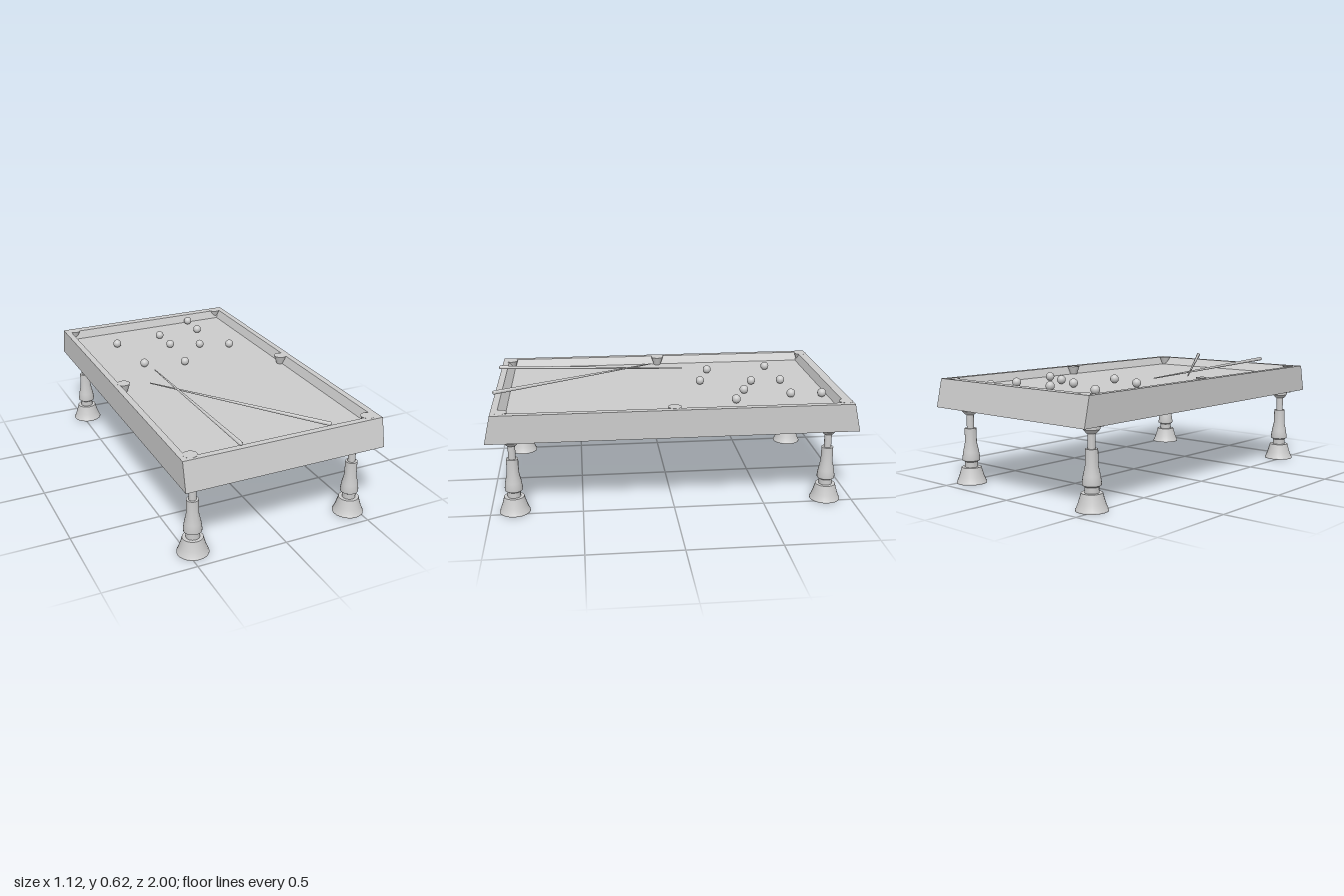
import * as THREE from 'three';
import { toCreasedNormals } from 'three/addons/utils/BufferGeometryUtils.js';

const material = new THREE.MeshStandardMaterial({ color: 0xcccccc });

function add(parent, name, geometry, x = 0, y = 0, z = 0) {
  const mesh = new THREE.Mesh(geometry, material);
  mesh.name = name;
  mesh.position.set(x, y, z);
  parent.add(mesh);
  return mesh;
}

// Stacks rectangular rings [half width, back z, front z, y] into a closed shell with sharp edges
function rectLoft(rings) {
  const pos = [];
  const idx = [];
  for (const [w, z0, z1, y] of rings) pos.push(-w, y, z1, w, y, z1, w, y, z0, -w, y, z0);
  for (let r = 0; r < rings.length - 1; r++) {
    for (let i = 0; i < 4; i++) {
      const a = r * 4 + i, b = r * 4 + (i + 1) % 4;
      idx.push(a, b, b + 4, a, b + 4, a + 4);
    }
  }
  const t = (rings.length - 1) * 4;
  idx.push(0, 2, 1, 0, 3, 2, t, t + 1, t + 2, t, t + 2, t + 3);
  const g = new THREE.BufferGeometry();
  g.setAttribute('position', new THREE.Float32BufferAttribute(pos, 3));
  g.setIndex(idx);
  const flat = g.toNonIndexed();
  flat.computeVertexNormals();
  return flat;
}

// Turned shape from [radius, y] pairs
function turned(profile, segments) {
  const points = profile.map(([r, y]) => new THREE.Vector2(r, y));
  return toCreasedNormals(new THREE.LatheGeometry(points, segments), 0.5);
}

// Tapered stick with a rounded butt, running from butt to tip
function addCue(parent, butt, tip) {
  const a = new THREE.Vector3(...butt), b = new THREE.Vector3(...tip);
  const dir = b.clone().sub(a);
  const length = dir.length();
  const profile = [];
  for (let i = 0; i <= 4; i++) {
    const t = (i / 4) * Math.PI / 2;
    profile.push([0.011 * Math.sin(t), -0.01 * Math.cos(t)]);
  }
  profile.push([0.003, length], [0, length]);
  const cue = add(parent, 'cue', turned(profile, 12), ...butt);
  cue.quaternion.setFromUnitVectors(new THREE.Vector3(0, 1, 0), dir.normalize());
}

export function createModel() {
  const model = new THREE.Group();
  model.name = 'poolTable';

  // Table body: sloped ends, rim, slanted cushions and sunken bed
  add(model, 'tableBody', rectLoft([
    [0.56, -1, 1, 0.43],
    [0.56, -0.965, 0.965, 0.585],
    [0.525, -0.915, 0.93, 0.585],
    [0.505, -0.9, 0.895, 0.538],
  ]));

  // Pockets: tapered cups set into the rails
  const pocket = toCreasedNormals(new THREE.CylinderGeometry(0.037, 0.02, 0.05, 20), 0.5);
  for (const x of [-0.5, 0.5]) {
    for (const z of [-0.93, 0, 0.915]) add(model, 'pocket', pocket, x, 0.561, z);
  }

  // Turned legs with flared feet and mounting plates
  const leg = turned([
    [0, 0], [0.084, 0], [0.084, 0.006], [0.08, 0.012], [0.069, 0.04], [0.06, 0.07], [0.055, 0.09],
    [0.036, 0.09], [0.036, 0.12], [0.048, 0.128], [0.049, 0.14], [0.044, 0.175], [0.033, 0.226],
    [0.032, 0.308], [0.02, 0.308], [0.02, 0.383], [0.027, 0.385], [0.043, 0.404],
    [0.043, 0.423], [0.07, 0.423], [0.07, 0.43],
  ], 24);
  for (const x of [-0.469, 0.456]) {
    for (const z of [-0.857, 0.87]) add(model, 'leg', leg, x, 0, z);
  }

  // Balls resting on the bed
  const ball = new THREE.SphereGeometry(0.0245, 20, 14);
  const spots = [
    [0.27, -0.86], [-0.305, -0.655], [-0.005, -0.685], [0.26, -0.685], [-0.005, -0.51],
    [0.165, -0.435], [0.335, -0.36], [-0.265, -0.285], [-0.035, -0.21],
  ];
  for (const [x, z] of spots) add(model, 'ball', ball, x, 0.5625, z);

  // Two crossed cues leaning on the front rail
  addCue(model, [-0.257, 0.613, 0.965], [-0.26, 0.575, -0.13]);
  addCue(model, [0.242, 0.613, 0.962], [-0.36, 0.581, 0.05]);

  return model;
}
